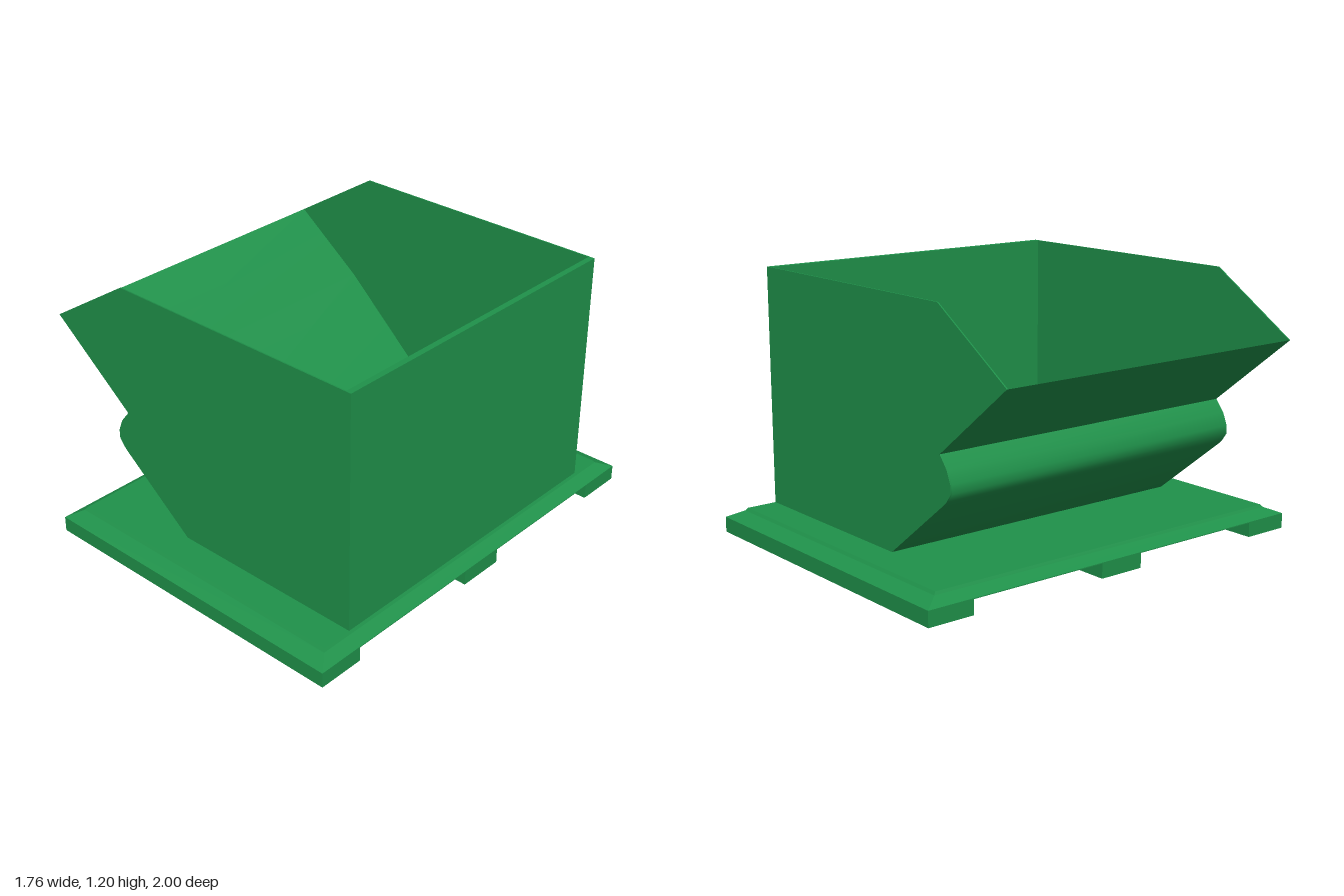
import * as THREE from 'three';
import { toCreasedNormals } from 'three/addons/utils/BufferGeometryUtils.js';

const green = new THREE.MeshStandardMaterial({ color: 0x1f914a });

// Extrudes an x-y profile along z, from z0 over the given depth
function extrudeProfile(points, z0, depth) {
  const shape = new THREE.Shape(points.map(([x, y]) => new THREE.Vector2(x, y)));
  const geo = new THREE.ExtrudeGeometry(shape, { depth, bevelEnabled: false });
  geo.translate(0, 0, z0);
  return toCreasedNormals(geo, 0.75);
}

// Stacks rectangular sections [x0, x1, halfZ, y], joined by sloping sides and capped
function loftRectangles(sections) {
  const pos = [];
  const rings = sections.map(([x0, x1, z, y]) => [[x0, y, z], [x1, y, z], [x1, y, -z], [x0, y, -z]]);
  const quad = (a, b, c, d) => pos.push(...a, ...b, ...c, ...a, ...c, ...d);
  for (let i = 0; i < rings.length - 1; i++) {
    for (let k = 0; k < 4; k++) {
      const n = (k + 1) % 4;
      quad(rings[i][k], rings[i][n], rings[i + 1][n], rings[i + 1][k]);
    }
  }
  const [a, b, c, d] = rings[0];
  quad(d, c, b, a);
  quad(...rings[rings.length - 1]);
  const geo = new THREE.BufferGeometry();
  geo.setAttribute('position', new THREE.Float32BufferAttribute(pos, 3));
  geo.computeVertexNormals();
  return geo;
}

export function createModel() {
  const model = new THREE.Group();
  model.name = 'openBin';
  const add = (name, geo) => {
    const mesh = new THREE.Mesh(geo, green);
    mesh.name = name;
    model.add(mesh);
    return mesh;
  };

  // Three skids under the base
  for (const [z, width] of [[-0.89, 0.22], [0, 0.22], [0.89, 0.22]]) {
    add('skid', new THREE.BoxGeometry(1.56, 0.07, width)).position.set(0.1, 0.035, z);
  }

  // Base plate with a bevelled rim
  add('basePlate', loftRectangles([
    [-0.68, 0.88, 1, 0.066],
    [-0.68, 0.88, 1, 0.07],
    [-0.625, 0.825, 0.93, 0.1],
    [-0.617, 0.817, 0.92, 0.112],
  ]));

  // Outer line of the bin: rear wall, underside, rounded roll, spout
  const lip = [-0.88, 0.93];
  const outer = [
    [0.817, 1.2], [0.817, 0.105], [-0.11, 0.105],
    [-0.49, 0.402], [-0.503, 0.415], [-0.528, 0.45], [-0.528, 0.49],
    [-0.505, 0.545], [-0.46, 0.6], lip,
  ];

  // Inner line: spout, ramp, sloping floor, rear wall
  const inner = [[-0.545, 0.68], [-0.16, 0.33], [0.79, 0.22], [0.79, 1.2]];
  add('binBody', extrudeProfile([...outer, ...inner], -0.77, 1.54));

  // Thin side walls closing both ends
  for (const z0 of [-0.776, 0.77]) {
    add('sideWall', extrudeProfile([...outer, [-0.455, 1.2]], z0, 0.006));
  }

  return model;
}
